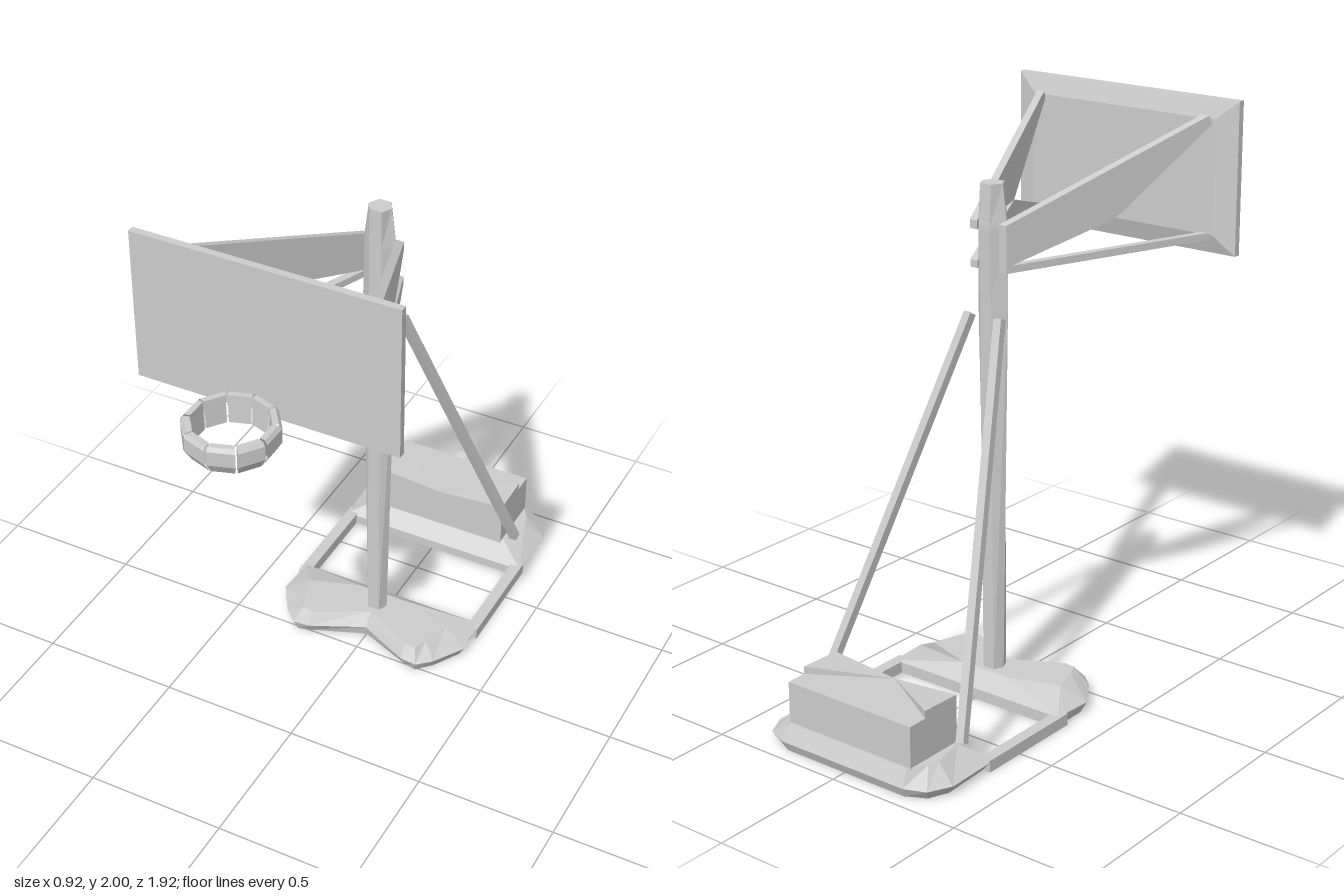
import * as THREE from 'three';

const material = new THREE.MeshStandardMaterial({ color: 0xcccccc, flatShading: true });
const openMaterial = new THREE.MeshStandardMaterial({ color: 0xcccccc, flatShading: true, side: THREE.DoubleSide });

function add(parent, name, geometry, mat = material) {
  const flat = geometry.index ? geometry.toNonIndexed() : geometry;
  flat.computeVertexNormals();
  const mesh = new THREE.Mesh(flat, mat);
  mesh.name = name;
  parent.add(mesh);
  return mesh;
}

// Closed solid through stacked rings of [x, y, z], counterclockwise from above
function solid(rings) {
  const n = rings[0].length, index = [];
  for (let r = 0; r < rings.length - 1; r++) {
    for (let i = 0; i < n; i++) {
      const a = r * n + i, b = r * n + (i + 1) % n;
      index.push(a, b, b + n, a, b + n, a + n);
    }
  }
  const cap = (ring) => THREE.ShapeUtils.triangulateShape(ring.map(([x, , z]) => new THREE.Vector2(x, -z)), []);
  const top = (rings.length - 1) * n;
  cap(rings[0]).forEach(([a, b, c]) => index.push(a, c, b));
  cap(rings[rings.length - 1]).forEach(([a, b, c]) => index.push(top + a, top + b, top + c));
  const geometry = new THREE.BufferGeometry();
  geometry.setAttribute('position', new THREE.Float32BufferAttribute(rings.flat(2), 3));
  geometry.setIndex(index);
  return geometry;
}

// Mirrored ring from the +x half, listed front to back as [x, z]
function ring(y, half) {
  const other = half.filter(([x]) => x > 0).reverse().map(([x, z]) => [-x, z]);
  return [...half, ...other].map(([x, z]) => [x, y, z]);
}

const rectangle = (y, x, z0, z1) => ring(y, [[x, z1], [x, z0]]);

// Square bar between two points
function bar(parent, name, from, to, radius) {
  const a = new THREE.Vector3(...from), b = new THREE.Vector3(...to);
  const direction = b.clone().sub(a);
  const geometry = new THREE.CylinderGeometry(radius, radius, direction.length(), 4);
  const mesh = add(parent, name, geometry);
  mesh.position.copy(a).add(b).multiplyScalar(0.5);
  mesh.quaternion.setFromUnitVectors(new THREE.Vector3(0, 1, 0), direction.normalize());
}

// Upright plate drawn in [z, y], splayed outwards towards the board
function armPlate(parent, name, side, points, thickness = 0.03) {
  const shape = new THREE.Shape(points.map(([z, y]) => new THREE.Vector2(z, y)));
  const geometry = new THREE.ExtrudeGeometry(shape, { depth: thickness, bevelEnabled: false });
  const p = geometry.attributes.position;
  for (let i = 0; i < p.count; i++) {
    const z = p.getX(i), y = p.getY(i), depth = p.getZ(i);
    const x = side * (0.06 + (z + 0.19) * 0.39);
    p.setXYZ(i, x + thickness / 2 - depth, y, z);
  }
  add(parent, name, geometry);
}

export function createModel() {
  const model = new THREE.Group();
  model.name = 'basketballHoop';

  // Base: lobed front foot, rear platform and side rails
  const base = new THREE.Group();
  base.name = 'base';
  model.add(base);
  add(base, 'frontFoot', solid([
    ring(0, [[0, -0.08], [0.2, 0], [0.24, 0.01], [0.29, -0.04], [0.35, -0.14], [0.35, -0.28]]),
    ring(0.04, [[0, -0.07], [0.19, 0.02], [0.25, 0.025], [0.3, -0.02], [0.37, -0.13], [0.36, -0.28]]),
    ring(0.087, [[0, -0.11], [0.19, -0.01], [0.23, -0.015], [0.25, -0.06], [0.28, -0.16], [0.1, -0.22]]),
  ]));
  add(base, 'rearPlatform', solid([
    ring(0, [[0.34, -0.63], [0.35, -0.84], [0.32, -0.91], [0.25, -0.945]]),
    ring(0.035, [[0.37, -0.63], [0.375, -0.85], [0.335, -0.93], [0.26, -0.96]]),
    ring(0.09, [[0.27, -0.7], [0.3, -0.83], [0.29, -0.87], [0.25, -0.93]]),
  ]));
  for (const side of [-1, 1]) {
    const rail = add(base, 'sideRail', new THREE.BoxGeometry(0.042, 0.042, 0.42));
    rail.position.set(side * 0.35, 0.021, -0.45);
  }

  // Ballast box with a raised wedge in each front corner
  const ballast = new THREE.Group();
  ballast.name = 'ballast';
  model.add(ballast);
  add(ballast, 'ballastBox', solid([
    rectangle(0.08, 0.26, -0.92, -0.69),
    rectangle(0.235, 0.26, -0.92, -0.69),
  ]));
  for (const side of [-1, 1]) {
    const low = [[side * 0.26, 0.23, -0.69], [side * 0.26, 0.23, -0.845], [0, 0.23, -0.69]];
    const high = [[side * 0.26, 0.257, -0.69], [side * 0.26, 0.262, -0.845], [0, 0.236, -0.69]];
    const wedge = side > 0 ? [low, high] : [low.reverse(), high.reverse()];
    add(ballast, 'ballastWedge', solid(wedge));
  }

  // Six-sided pole, widest at the arm joint
  const poleRing = (y, w, back) => ring(y, [[0.022, -0.13], [w, -0.165], [0.022, back]]);
  add(model, 'pole', solid([
    poleRing(0.06, 0.038, -0.2),
    poleRing(1.4, 0.062, -0.207),
    poleRing(1.66, 0.06, -0.21),
    poleRing(1.8, 0.042, -0.202),
  ]));

  // Rear braces
  for (const side of [-1, 1]) {
    bar(model, 'rearBrace', [side * 0.062, 1.36, -0.21], [side * 0.305, 0.11, -0.72], 0.021);
  }

  // Arms carrying the board; each side is webbed differently
  const arms = new THREE.Group();
  arms.name = 'arms';
  model.add(arms);
  const knee = [0.2, 1.64];
  armPlate(arms, 'leftUpperArm', 1, [[-0.19, 1.64], knee, [0.565, 1.92], [0.545, 1.945], [-0.19, 1.67]]);
  armPlate(arms, 'leftLowerArm', 1, [[-0.19, 1.51], [0.565, 1.515], [0.565, 1.535], knee, [-0.19, 1.535]]);
  armPlate(arms, 'rightUpperArm', -1, [[-0.19, 1.53], knee, [0.565, 1.92], [0.545, 1.945], [-0.19, 1.67]]);
  armPlate(arms, 'rightLowerArm', -1, [[-0.19, 1.51], [0.565, 1.515], [0.565, 1.54], [-0.19, 1.535]]);

  // Backboard with a bevelled rear
  const boardRing = (depth, x, h) => rectangle(depth, x, -h, h);
  const board = add(model, 'backboard', solid([
    boardRing(0.555, 0.38, 0.2),
    boardRing(0.578, 0.46, 0.267),
    boardRing(0.603, 0.46, 0.267),
  ]));
  board.rotation.x = Math.PI / 2;
  board.position.y = 1.733;

  // Rim of ten separate segments
  const rim = new THREE.Group();
  rim.name = 'rim';
  rim.position.set(-0.003, 0, 0.805);
  model.add(rim);
  const profile = [[0.12, 1.485], [0.132, 1.483], [0.155, 1.52], [0.155, 1.57], [0.145, 1.583], [0.125, 1.583], [0.12, 1.485]]
    .map(([r, y]) => new THREE.Vector2(r, y));
  const step = Math.PI / 5;
  for (let i = 0; i < 10; i++) {
    add(rim, 'rimSegment', new THREE.LatheGeometry(profile, 1, (i + 0.04) * step, step * 0.92), openMaterial);
  }

  return model;
}
